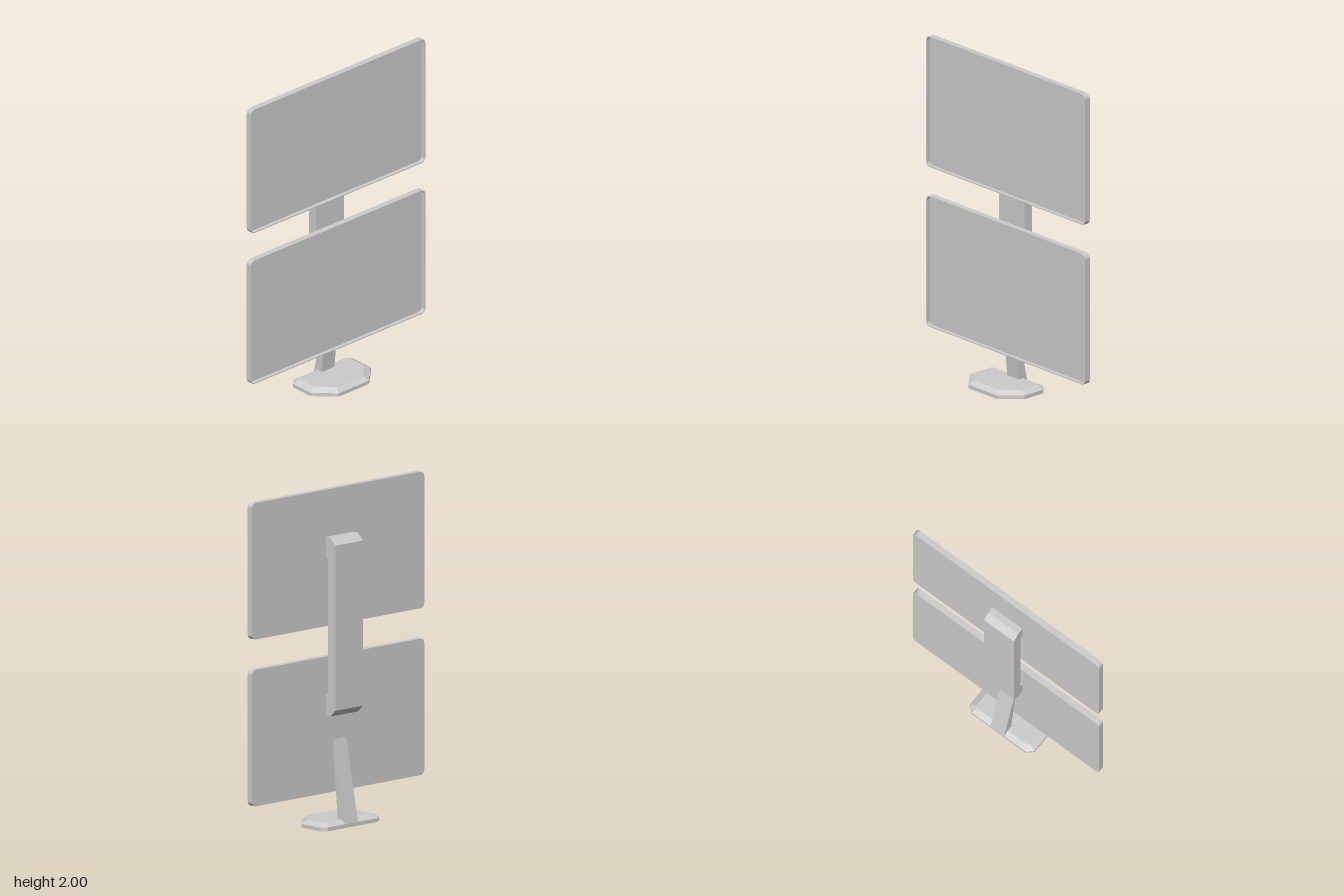
import * as THREE from 'three';

const grey = new THREE.MeshStandardMaterial({ color: 0xcccccc });
grey.name = 'grey plastic';

// Rounded rectangle centred on the origin
function roundedRect(w, h, r, Type = THREE.Shape) {
  const s = new Type(), x = w / 2, y = h / 2;
  s.moveTo(x, -y + r);
  s.lineTo(x, y - r);
  s.absarc(x - r, y - r, r, 0, Math.PI / 2);
  s.lineTo(-x + r, y);
  s.absarc(-x + r, y - r, r, Math.PI / 2, Math.PI);
  s.lineTo(-x, -y + r);
  s.absarc(-x + r, -y + r, r, Math.PI, Math.PI * 1.5);
  s.lineTo(x - r, -y);
  s.absarc(x - r, -y + r, r, Math.PI * 1.5, Math.PI * 2);
  return s;
}

function mesh(name, geometry) {
  const m = new THREE.Mesh(geometry, grey);
  m.name = name;
  return m;
}

// Side profile given as [z, y] points, extruded from x0 to x1
function sideProfile(points, x0, x1) {
  const shape = new THREE.Shape(points.map(([z, y]) => new THREE.Vector2(z, y)));
  const g = new THREE.ExtrudeGeometry(shape, { depth: x1 - x0, bevelEnabled: false });
  return g.rotateY(-Math.PI / 2).translate(x1, 0, 0);
}

// Closed solid through rings of [x, y, z] points, flat faced
function loft(rings) {
  const pos = [], n = rings[0].length;
  const tri = (a, b, c) => pos.push(...a, ...b, ...c);
  for (let k = 0; k < rings.length - 1; k++) {
    for (let i = 0; i < n; i++) {
      const j = (i + 1) % n, lo = rings[k], hi = rings[k + 1];
      tri(lo[i], lo[j], hi[j]);
      tri(lo[i], hi[j], hi[i]);
    }
  }
  const bottom = rings[0], top = rings[rings.length - 1];
  for (let i = 1; i < n - 1; i++) {
    tri(bottom[0], bottom[i + 1], bottom[i]);
    tri(top[0], top[i], top[i + 1]);
  }
  const g = new THREE.BufferGeometry();
  g.setAttribute('position', new THREE.Float32BufferAttribute(pos, 3));
  g.computeVertexNormals();
  return g;
}

// Thin panel with a narrow raised rim around a recessed display
function monitor(name, y) {
  const W = 1.36, H = 0.81, R = 0.03, RIM = 0.006, BACK = -0.049, FRONT = -0.012, FACE = -0.036;
  const opts = (depth) => ({ depth, bevelEnabled: false, curveSegments: 5 });
  const group = new THREE.Group();
  group.name = name;
  const rim = roundedRect(W, H, R);
  rim.holes.push(roundedRect(W - 2 * RIM, H - 2 * RIM, R - RIM, THREE.Path));
  group.add(
    mesh('monitorRim', new THREE.ExtrudeGeometry(rim, opts(FRONT - BACK)).translate(0, 0, BACK)),
    mesh('displayPanel', new THREE.ExtrudeGeometry(
      roundedRect(W - 2 * RIM, H - 2 * RIM, R - RIM), opts(FACE - BACK)).translate(0, 0, BACK))
  );
  group.position.y = y;
  return group;
}

export function createModel() {
  const model = new THREE.Group();
  model.name = 'stackedMonitors';

  model.add(monitor('lowerMonitor', 0.605), monitor('upperMonitor', 1.595));

  // C-shaped bracket joining the two monitors
  model.add(mesh('rearBracket', sideProfile([
    [-0.048, 0.66], [-0.048, 0.785], [-0.07, 0.785], [-0.07, 1.595], [-0.048, 1.595],
    [-0.048, 1.72], [-0.089, 1.72], [-0.131, 1.68], [-0.131, 0.70], [-0.089, 0.66],
  ].reverse(), -0.12, 0.098)));

  // Leaning, tapered stand
  model.add(mesh('stand', sideProfile([
    [-0.15, 0.02], [-0.085, 0.02], [-0.048, 0.42], [-0.048, 0.515],
  ], -0.064, 0.035)));

  // Eight-sided foot with a chamfered top, mirrored about its own centre
  const CX = -0.023;
  const ring = (half, y) => [
    ...half.map(([x, z]) => [CX + x, y, z]),
    ...half.slice().reverse().map(([x, z]) => [CX - x, y, z]),
  ];
  const outer = [[0.119, 0.15], [0.236, 0.035], [0.236, -0.115], [0.198, -0.15]];
  const inner = [[0.102, 0.116], [0.198, 0.02], [0.198, -0.105], [0.185, -0.116]];
  model.add(mesh('foot', loft([ring(outer, 0), ring(outer, 0.022), ring(inner, 0.044)])));

  return model;
}
